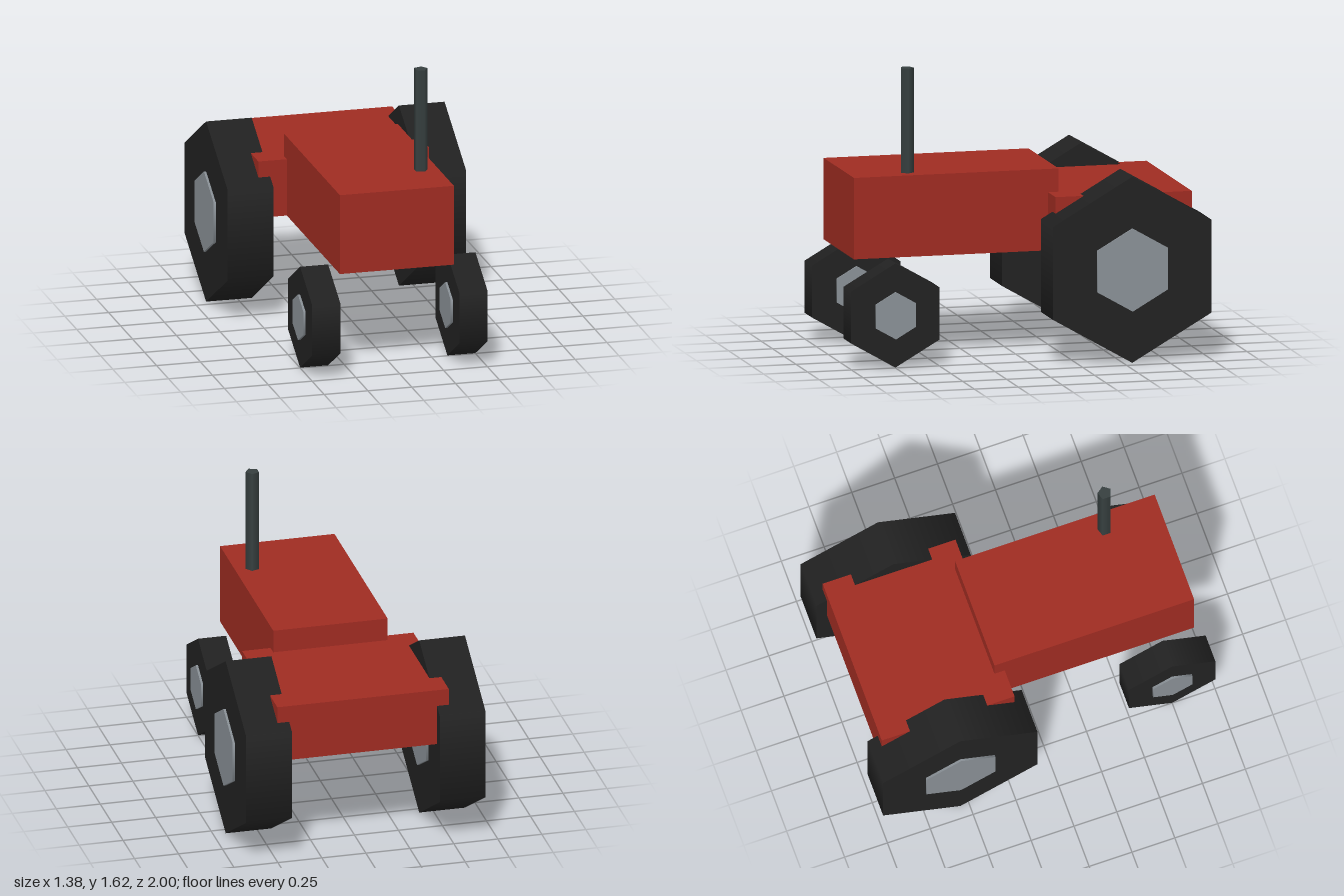
import * as THREE from 'three';

const material = (name, color) => {
  const m = new THREE.MeshStandardMaterial({ color });
  m.name = name;
  return m;
};

export function createModel() {
  const red = material('red paint', 0xa02c22);
  const rubber = material('black rubber', 0x222222);
  const steel = material('grey steel', 0x8a9197);
  const iron = material('dark iron', 0x374040);

  const model = new THREE.Group();
  model.name = 'tractor';

  const add = (parent, name, geometry, mat) => {
    const mesh = new THREE.Mesh(geometry, mat);
    mesh.name = name;
    parent.add(mesh);
    return mesh;
  };

  // Box given by half width and its y and z ranges
  const box = (name, halfWidth, y0, y1, z0, z1) => {
    const g = new THREE.BoxGeometry(halfWidth * 2, y1 - y0, z1 - z0);
    g.translate(0, (y0 + y1) / 2, (z0 + z1) / 2);
    return add(model, name, g, red);
  };

  // Six-sided disc lying along x, with a corner pointing up
  const hexDisc = (radius, width) =>
    new THREE.CylinderGeometry(radius, radius, width, 6, 1, false, Math.PI / 6).rotateZ(Math.PI / 2);

  // Bodywork
  box('hood', 0.325, 0.585, 1.04, -0.225, 0.94);
  box('rearBody', 0.42, 0.585, 0.91, -0.94, -0.165);
  box('fenders', 0.487, 0.815, 0.91, -0.94, -0.165);

  // Five-sided exhaust pipe on the left of the hood
  const pipe = new THREE.CylinderGeometry(0.039, 0.039, 0.62, 5, 1, false, Math.PI / 2);
  add(model, 'exhaustPipe', pipe, iron).position.set(0.226, 1.315, 0.613);

  // Wheels, each with a hub showing on both faces
  const wheels = [
    { name: 'RearWheel', x: 0.55, y: 0.52, z: -0.55, r: 0.52, w: 0.26, hubR: 0.232, hubW: 0.285 },
    { name: 'FrontWheel', x: 0.42, y: 0.293, z: 0.75, r: 0.291, w: 0.16, hubR: 0.132, hubW: 0.185 },
  ];
  for (const { name, x, y, z, r, w, hubR, hubW } of wheels) {
    for (const side of [1, -1]) {
      const wheel = new THREE.Group();
      wheel.name = (side > 0 ? 'left' : 'right') + name;
      wheel.position.set(side * x, y, z);
      add(wheel, 'tyre', hexDisc(r, w), rubber);
      add(wheel, 'hub', hexDisc(hubR, hubW), steel);
      model.add(wheel);
    }
  }
  return model;
}
